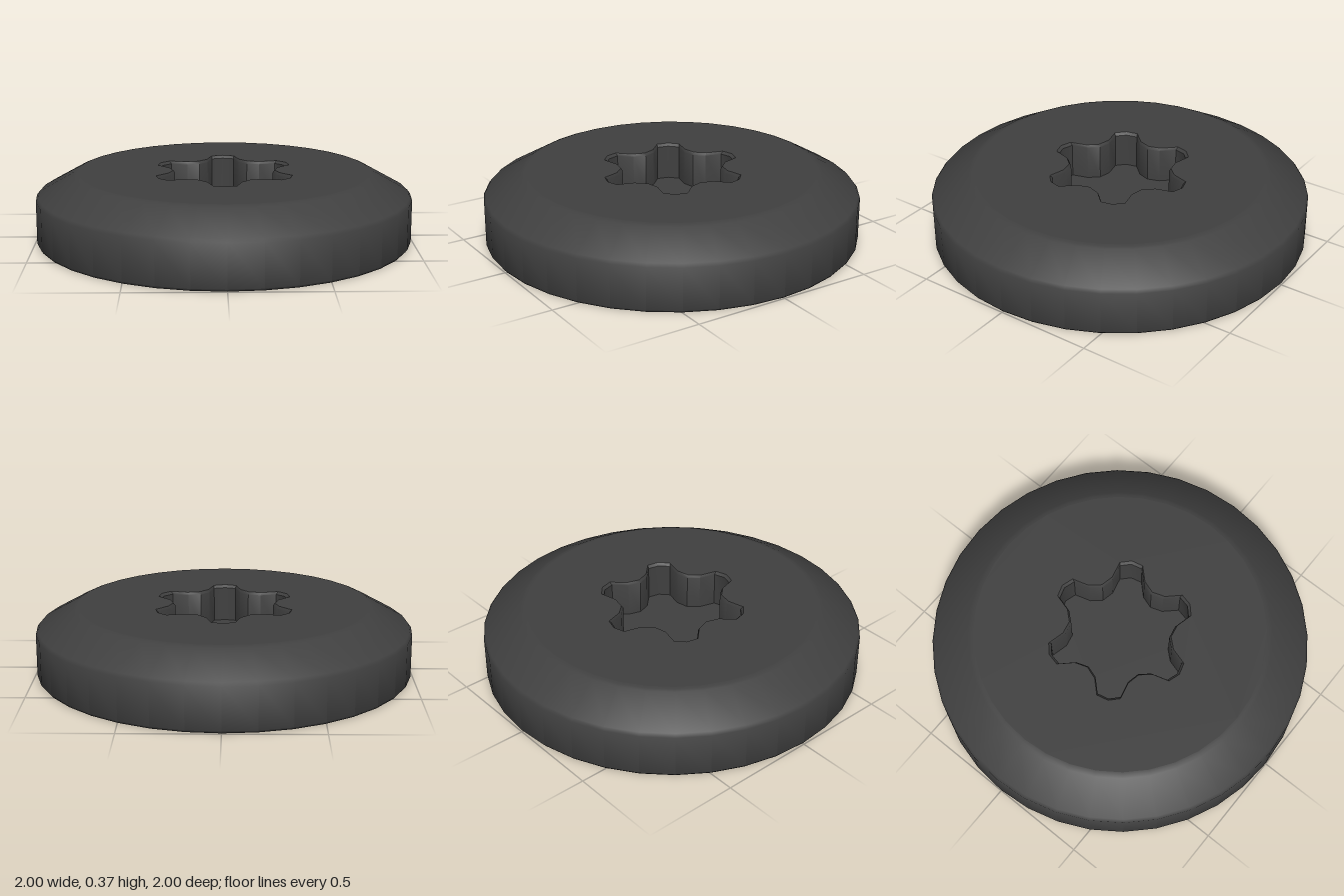
import * as THREE from 'three';
import { toCreasedNormals } from 'three/addons/utils/BufferGeometryUtils.js';

const SIDES = 36;
const TOP = 0.365;
const FLOOR = 0.165;
const RIM = 0.77;

// Six-lobed star outline, counter-clockwise
function starPoints(scale) {
  const lobe = [[-0.088, 0.287], [-0.062, 0.376], [0, 0.395], [0.062, 0.376], [0.088, 0.287], [0.135, 0.234]];
  const points = [];
  for (let k = 0; k < 6; k++) {
    const a = k * Math.PI / 3;
    for (const [x, y] of [...lobe].reverse()) {
      points.push(new THREE.Vector2(
        scale * (x * Math.cos(a) - y * Math.sin(a)),
        scale * (x * Math.sin(a) + y * Math.cos(a))
      ));
    }
  }
  return points;
}

// Flat face lying in the ground plane, facing up
function flatFace(shape, y) {
  return new THREE.ShapeGeometry(shape).rotateX(-Math.PI / 2).translate(0, y, 0);
}

// Inward-facing wall through a stack of star outlines, top to bottom
function socketWall(rings) {
  const positions = [];
  const index = [];
  for (const [scale, y] of rings) {
    for (const p of starPoints(scale)) positions.push(p.x, y, -p.y);
  }
  const n = SIDES;
  for (let r = 0; r < rings.length - 1; r++) {
    for (let i = 0; i < n; i++) {
      const a = r * n + i, b = r * n + (i + 1) % n;
      index.push(a, b, a + n, b, b + n, a + n);
    }
  }
  const geometry = new THREE.BufferGeometry();
  geometry.setAttribute('position', new THREE.Float32BufferAttribute(positions, 3));
  geometry.setIndex(index);
  return toCreasedNormals(geometry, 0.6);
}

export function createModel() {
  const group = new THREE.Group();
  group.name = 'screwHead';
  const material = new THREE.MeshStandardMaterial({ color: 0x404040 });
  const add = (name, geometry) => {
    const mesh = new THREE.Mesh(geometry, material);
    mesh.name = name;
    group.add(mesh);
  };

  // Turned body: flat base, upright side, bevelled shoulder
  const profile = [
    [0, 0], [0.99, 0], [1, 0.012], [1, 0.235], [0.987, 0.252],
    [0.8, 0.357], [0.785, 0.363], [RIM, TOP]
  ].map(([x, y]) => new THREE.Vector2(x, y));
  add('body', toCreasedNormals(new THREE.LatheGeometry(profile, SIDES), 0.7));

  // Top face with a star-shaped opening
  const disc = [];
  for (let i = 0; i < SIDES; i++) {
    const a = i / SIDES * Math.PI * 2;
    disc.push(new THREE.Vector2(RIM * Math.cos(a), RIM * Math.sin(a)));
  }
  const topShape = new THREE.Shape(disc);
  topShape.holes.push(new THREE.Path(starPoints(1).reverse()));
  add('topFace', flatFace(topShape, TOP));

  // Drive socket: small rim bevel, upright wall and floor
  add('socketWall', socketWall([[1, TOP], [0.965, TOP - 0.014], [0.965, FLOOR]]));
  add('socketFloor', flatFace(new THREE.Shape(starPoints(0.965)), FLOOR));

  return group;
}
